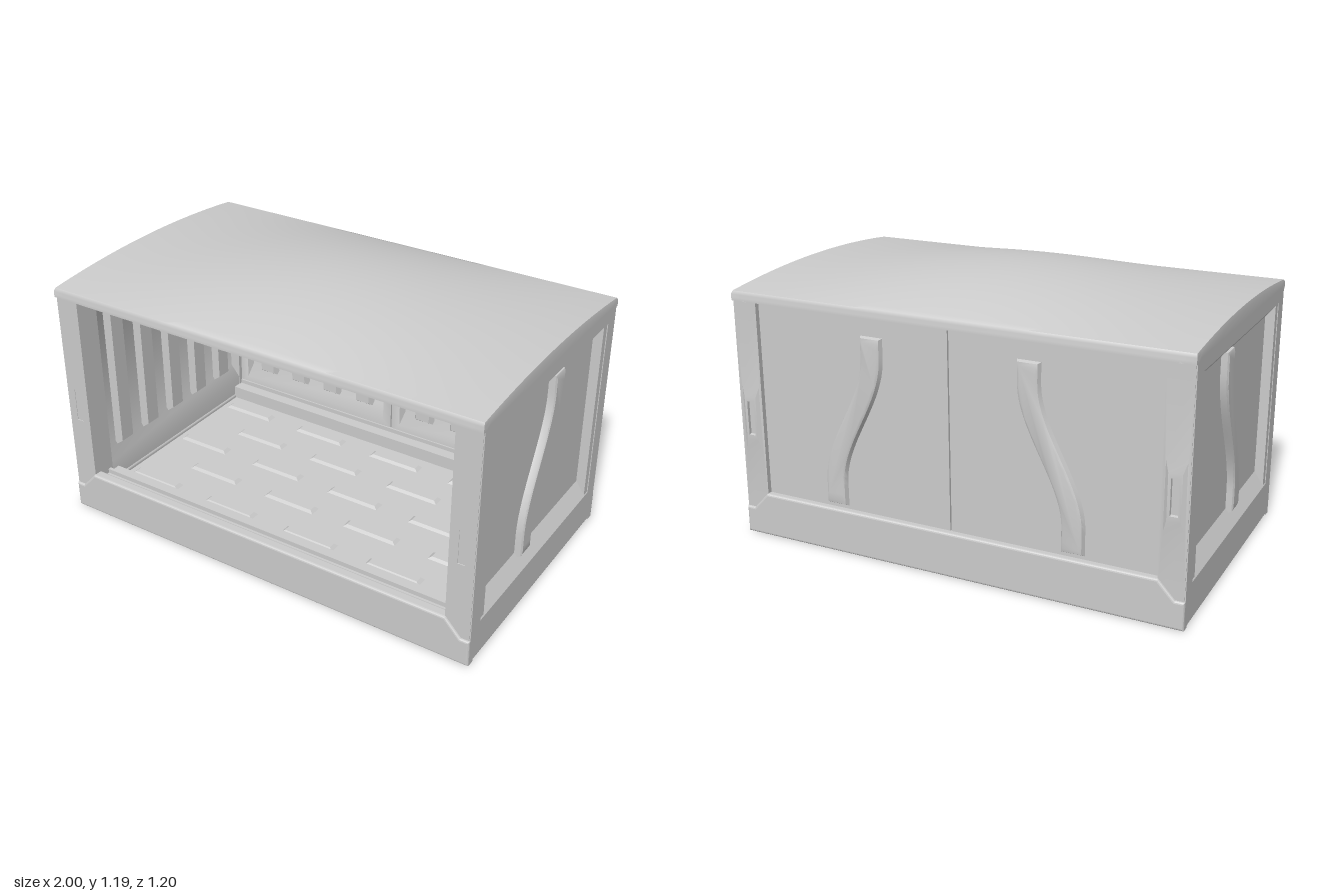
import * as THREE from 'three';
import { toCreasedNormals } from 'three/addons/utils/BufferGeometryUtils.js';
import { RoundedBoxGeometry } from 'three/addons/geometries/RoundedBoxGeometry.js';

const grey = new THREE.MeshStandardMaterial({ color: 0xcccccc });

function add(parent, name, geometry, x = 0, y = 0, z = 0) {
  const mesh = new THREE.Mesh(geometry, grey);
  mesh.name = name;
  mesh.position.set(x, y, z);
  parent.add(mesh);
  return mesh;
}

function group(parent, name, x = 0, y = 0, z = 0, turn = 0) {
  const g = new THREE.Group();
  g.name = name;
  g.position.set(x, y, z);
  g.rotation.y = turn;
  parent.add(g);
  return g;
}

const rect = (x0, x1, y0, y1) => [[x0, y0], [x1, y0], [x1, y1], [x0, y1]];

// Skin a stack of [outline, height] loops (counter-clockwise) and cap both ends
function relief(loops, crease = 0.5) {
  const n = loops[0][0].length, pos = [], index = [];
  for (const [pts, z] of loops) for (const [x, y] of pts) pos.push(x, y, z);
  for (let k = 0; k < loops.length - 1; k++) {
    for (let i = 0; i < n; i++) {
      const a = k * n + i, b = k * n + (i + 1) % n;
      index.push(a, b, b + n, a, b + n, a + n);
    }
  }
  const cap = (k, flip) => {
    const pts = loops[k][0].map(([x, y]) => new THREE.Vector2(x, y));
    for (const [a, b, c] of THREE.ShapeUtils.triangulateShape(pts, [])) {
      index.push(k * n + a, k * n + (flip ? c : b), k * n + (flip ? b : c));
    }
  };
  cap(0, true);
  cap(loops.length - 1, false);
  const g = new THREE.BufferGeometry();
  g.setAttribute('position', new THREE.Float32BufferAttribute(pos, 3));
  g.setIndex(index);
  return toCreasedNormals(g, crease);
}

// Raised S-shaped rib; dir = 1 leans the top towards local +x
function sRib(dir, height) {
  const outline = (half, y0, y1) => {
    const left = [], right = [];
    const steps = 24;
    for (let i = 0; i <= steps; i++) {
      const y = y0 + (y1 - y0) * i / steps;
      const t = THREE.MathUtils.smoothstep(y, 0.32, 0.88);
      const slope = dir * 0.19 * 6 * ((y - 0.32) / 0.56) * (1 - (y - 0.32) / 0.56) / 0.56;
      const w = half * (y > 0.32 && y < 0.88 ? Math.sqrt(1 + slope * slope * 0.3) : 1);
      const x = dir * (-0.09 + 0.19 * t);
      right.push([x + w, y]);
      left.unshift([x - w, y]);
    }
    return [...right, ...left];
  };
  return relief([[outline(0.05, 0.21, 0.965), 0], [outline(0.042, 0.22, 0.96), height * 0.8],
    [outline(0.034, 0.235, 0.945), height]], 0.6);
}

// Row of straight tapered ribs
function ribs(parent, xs, z) {
  for (const x of xs) {
    add(parent, 'innerRib', relief([[rect(x - 0.052, x + 0.052, 0.25, 0.97), 0],
      [rect(x - 0.036, x + 0.036, 0.27, 0.955), 0.028]]), 0, 0, z);
  }
}

// Slab with a bevelled recess
function recessed(outer, opening, floor, thick, depth) {
  return relief([[outer, -thick], [outer, 0], [opening, 0], [floor, -depth]]);
}

function sideWall(root, s) {
  const wall = group(root, s > 0 ? 'leftWall' : 'rightWall');
  const outside = group(wall, 'wallOutside', s, 0, 0, s * Math.PI / 2);
  add(outside, 'outerPanel', recessed(rect(-0.588, 0.588, 0.1, 1.05), rect(-0.515, 0.515, 0.17, 1),
    rect(-0.49, 0.49, 0.235, 0.945), 0.055, 0.045));
  add(outside, 'curvedRib', sRib(s, 0.03), 0, 0, -0.045);
  const inside = group(wall, 'wallInside', s * 0.89, 0, 0, -s * Math.PI / 2);
  add(inside, 'innerPanel', recessed(rect(-0.588, 0.588, 0.1, 1.05), rect(-0.48, 0.48, 0.2, 1),
    rect(-0.46, 0.46, 0.27, 0.945), 0.055, 0.03));
  ribs(inside, [-0.36, -0.18, 0, 0.18, 0.36], -0.03);
}

function posts(root, s) {
  const outer = rect(-0.055, 0.054, 0.1, 1.05);
  const slot = rect(-0.016, 0.016, 0.46, 0.61);
  const slotFloor = rect(-0.012, 0.012, 0.47, 0.6);
  add(root, 'frontPost', relief([[outer, -0.11], [outer, 0], [slot, 0], [slotFloor, -0.03]]), s * 0.942, 0, 0.59);
  const back = group(root, 'backPost', s * 0.942, 0, -0.59, Math.PI);
  add(back, 'postWithHandle', relief([[outer, -0.11], [outer, 0], [rect(-0.042, 0.042, 0.39, 0.675), 0],
    [rect(-0.028, 0.028, 0.44, 0.63), 0.01], [slot, 0.01], [slotFloor, -0.03]]));
}

function door(root, s) {
  const g = group(root, s > 0 ? 'leftDoor' : 'rightDoor', s * 0.445);
  const outer = rect(-0.442, 0.442, 0.16, 1.05);
  add(g, 'doorInside', recessed(outer, rect(-0.4, 0.4, 0.21, 1), rect(-0.385, 0.385, 0.275, 0.945), 0.035, 0.03), 0, 0, -0.5);
  ribs(group(g, 'doorRibs', 0, 0, -0.53), [-0.28, -0.093, 0.093, 0.28], 0);
  const outside = group(g, 'doorOutside', 0, 0, -0.57, Math.PI);
  add(outside, 'doorSkin', relief([[outer, -0.036], [outer, 0]]));
  add(outside, 'curvedRib', sRib(s, 0.022));
}

function base(root) {
  const g = group(root, 'base');
  // Front and back skirts with chamfered shoulders
  const shape = new THREE.Shape([[-1, 0], [1, 0], [1, 0.12], [0.96, 0.12], [0.89, 0.195], [-0.89, 0.195],
    [-0.96, 0.12], [-1, 0.12]].map(([x, y]) => new THREE.Vector2(x, y)));
  const skirt = new THREE.ExtrudeGeometry(shape, {
    depth: 0.03, bevelThickness: 0.01, bevelSize: 0.01, bevelOffset: -0.01, bevelSegments: 3,
  });
  for (const s of [1, -1]) {
    const side = group(g, s > 0 ? 'frontSill' : 'backSill', 0, 0, 0, s > 0 ? 0 : Math.PI);
    add(side, 'skirt', skirt, 0, 0, 0.56);
    add(side, 'doorTrack', new THREE.BoxGeometry(1.8, 0.16, 0.12), 0, 0.08, 0.5);
    add(side, 'trackRidge', new THREE.BoxGeometry(1.78, 0.02, 0.015), 0, 0.17, 0.5);
    add(g, 'sideSkirt', new RoundedBoxGeometry(0.115, 0.12, 1.2, 3, 0.014), s * 0.9425, 0.06, 0);
  }
  // Floor with raised grips on top and staggered tapered feet underneath
  add(g, 'floor', new THREE.BoxGeometry(1.8, 0.02, 0.94), 0, 0.09, 0);
  const foot = relief([[rect(-0.19, 0.19, -0.085, 0.085), 0], [rect(-0.12, 0.12, -0.06, 0.06), 0.078]]);
  foot.rotateX(Math.PI / 2);
  const grip = relief([[rect(-0.13, 0.13, -0.026, 0.026), 0], [rect(-0.115, 0.115, -0.016, 0.016), 0.012]]);
  grip.rotateX(-Math.PI / 2);
  for (let row = 0; row < 5; row++) {
    const z = (row - 2) * 0.18, shift = row % 2 ? 0.1 : -0.1;
    for (let col = 0; col < 4; col++) {
      const x = (col - 1.5) * 0.42 + shift;
      add(g, 'foot', foot, x, 0.081, z);
      add(g, 'floorGrip', grip, x, 0.1, z);
    }
  }
}

// Crowned roof, higher in the middle than at the ends
function roof(root) {
  const geo = new THREE.BoxGeometry(2, 0.04, 1.2, 40, 3, 48);
  const p = geo.attributes.position;
  for (let i = 0; i < p.count; i++) {
    const x = p.getX(i), y = p.getY(i), z = p.getZ(i);
    const dome = (1 - (z / 0.6) ** 2) * (0.035 + 0.035 * (1 + Math.cos(Math.PI * x)));
    if (y > 0.019) {
      p.setXYZ(i, x * 0.997, y + dome, z * 0.985);
    } else if (y < -0.019) {
      if (Math.abs(x) < 0.88 && Math.abs(z) < 0.49) p.setY(i, y + dome);
    } else if (y > 0) {
      p.setY(i, y + dome * 0.85);
    }
  }
  add(root, 'roof', toCreasedNormals(geo, 0.7), 0, 1.066, 0);
  for (const s of [1, -1]) {
    add(root, 'hingeKnob', new THREE.CylinderGeometry(0.03, 0.033, 0.03, 20), s * 0.94, 1.06, -0.568);
  }
}

export function createModel() {
  const root = new THREE.Group();
  root.name = 'storageShed';
  base(root);
  for (const s of [1, -1]) {
    sideWall(root, s);
    posts(root, s);
    door(root, s);
  }
  roof(root);
  return root;
}
